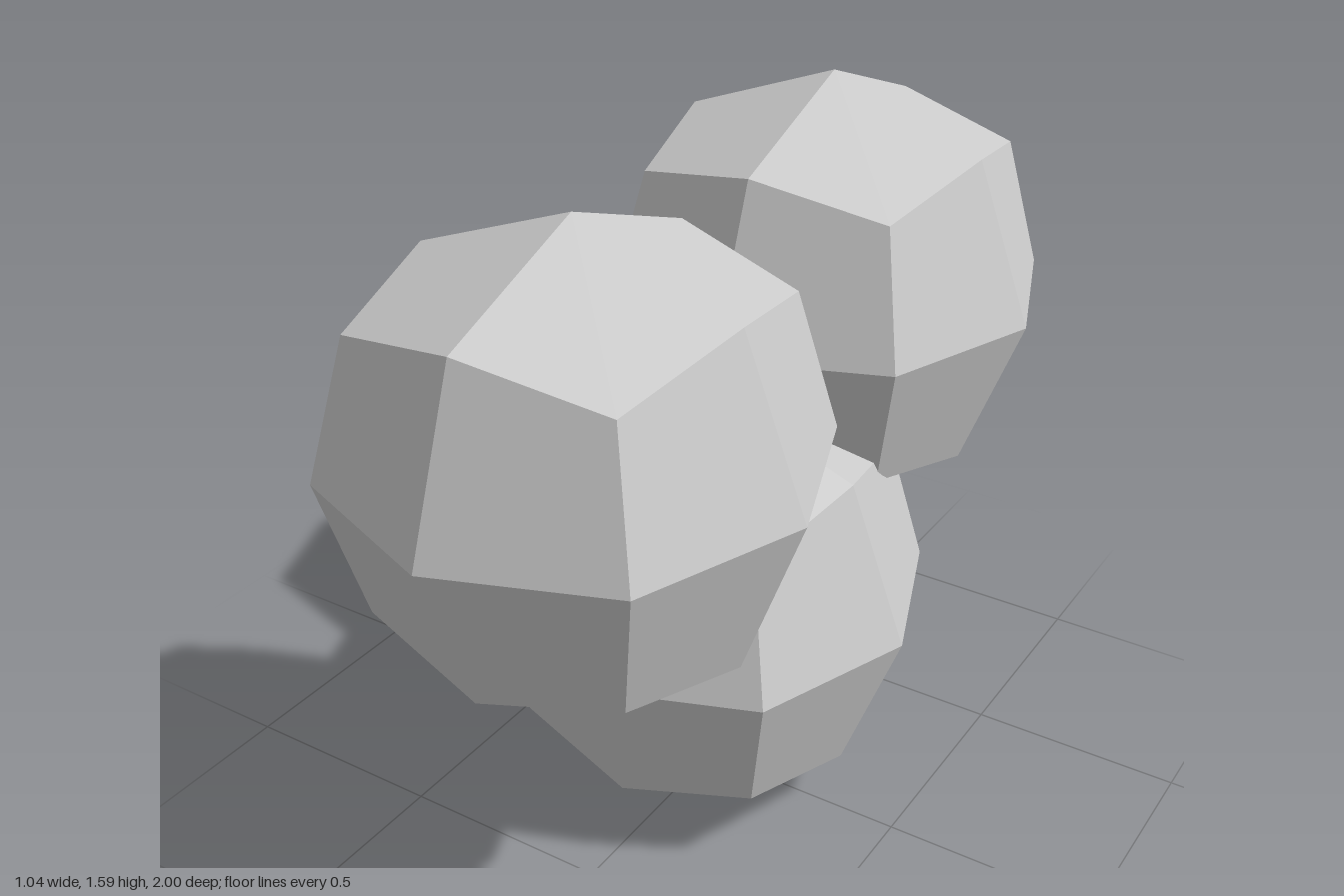
import * as THREE from 'three';

const AXIS = 0.505, EDGE = 0.367, CORNER = 0.305;

// Faceted ball: 24 kite-shaped faces, three around each cube corner.
function facetedBall() {
  const positions = [], normals = [];
  const signs = [1, -1];
  for (const sx of signs) for (const sy of signs) for (const sz of signs) {
    for (let axis = 0; axis < 3; axis++) {
      // Cycle the coordinates so each kite starts from a different axis
      const point = (p, q, s) => {
        const c = [0, 0, 0];
        c[axis] = p;
        c[(axis + 1) % 3] = q;
        c[(axis + 2) % 3] = s;
        return new THREE.Vector3(c[0] * sx, c[1] * sy, c[2] * sz);
      };
      const kite = [
        point(AXIS, 0, 0),
        point(EDGE, EDGE, 0),
        point(CORNER, CORNER, CORNER),
        point(EDGE, 0, EDGE),
      ];
      // Mirrored octants need the opposite winding
      if (sx * sy * sz < 0) kite.reverse().unshift(kite.pop());
      const [a, b, c, d] = kite;
      // One shared normal keeps each kite evenly shaded
      const n = c.clone().sub(a).cross(d.clone().sub(b)).normalize();
      for (const v of [a, b, c, a, c, d]) {
        positions.push(v.x, v.y, v.z);
        normals.push(n.x, n.y, n.z);
      }
    }
  }
  const geometry = new THREE.BufferGeometry();
  geometry.setAttribute('position', new THREE.Float32BufferAttribute(positions, 3));
  geometry.setAttribute('normal', new THREE.Float32BufferAttribute(normals, 3));
  return geometry;
}

export function createModel() {
  const group = new THREE.Group();
  group.name = 'stackedBalls';
  const geometry = facetedBall();
  const material = new THREE.MeshStandardMaterial({ color: 0xcccccc });

  // Two upper balls resting on one lower ball
  const balls = [
    ['frontBall', 0.015, 1.091, 0.495],
    ['backBall', 0.015, 1.091, -0.495],
    ['lowerBall', -0.015, 0.506, -0.015],
  ];
  for (const [name, x, y, z] of balls) {
    const ball = new THREE.Mesh(geometry, material);
    ball.name = name;
    ball.position.set(x, y, z);
    group.add(ball);
  }
  return group;
}
